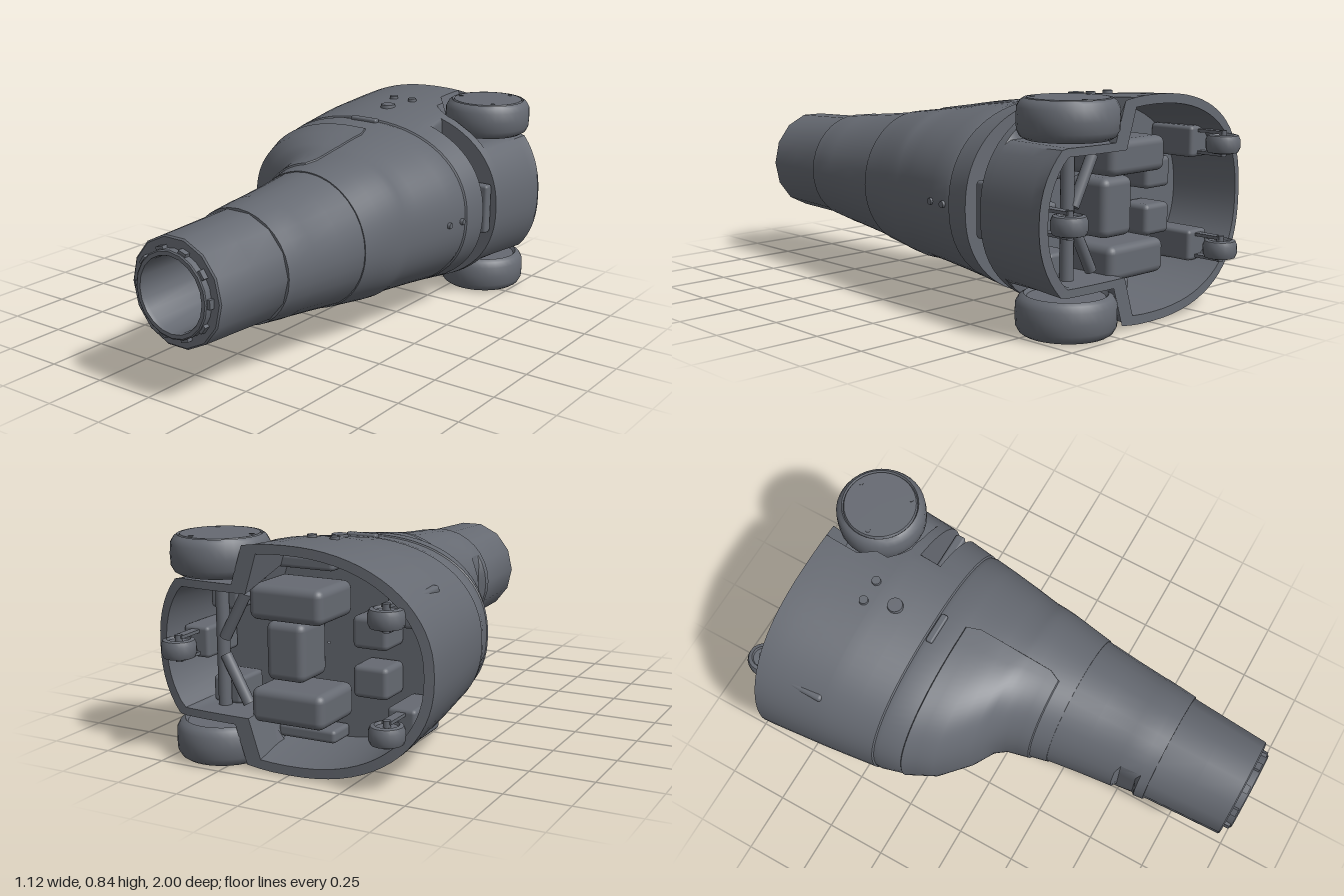
import * as THREE from 'three';
import { toCreasedNormals } from 'three/addons/utils/BufferGeometryUtils.js';
import { RoundedBoxGeometry } from 'three/addons/geometries/RoundedBoxGeometry.js';

const MID = 0.4175; // height of the mirror plane

// Hull stations: z, xMin, xMax, yMin, yMax
const STATIONS = [
  [-0.935, -0.56, 0.56, 0.003, 0.832],
  [-0.88, -0.56, 0.555, 0.005, 0.83],
  [-0.6, -0.535, 0.53, 0.028, 0.812],
  [-0.38, -0.51, 0.5, 0.06, 0.78],
  [-0.27, -0.48, 0.485, 0.075, 0.765],
  [-0.15, -0.42, 0.465, 0.09, 0.75],
  [-0.05, -0.31, 0.445, 0.107, 0.732],
  [0, -0.22, 0.44, 0.113, 0.725],
  [0.05, -0.185, 0.435, 0.12, 0.718],
  [0.22, -0.15, 0.41, 0.14, 0.695],
  [0.63, -0.105, 0.365, 0.198, 0.648],
  [0.97, -0.085, 0.33, 0.21, 0.63],
];

// Hull section at z, grown outward by g
function section(z, g = 0) {
  let i = 0;
  while (i < STATIONS.length - 2 && z > STATIONS[i + 1][0]) i++;
  const a = STATIONS[i], b = STATIONS[i + 1];
  const t = THREE.MathUtils.clamp((z - a[0]) / (b[0] - a[0]), 0, 1);
  const [, x0, x1, y0, y1] = a.map((v, k) => v + (b[k] - v) * t);
  return {
    cx: (x0 + x1) / 2, rx: (x1 - x0) / 2 + g,
    cy: (y0 + y1) / 2, ry: (y1 - y0) / 2 + g, n: z < 0 ? 2.25 : 2 + 0.25 * Math.max(0, 1 - z / 0.2),
  };
}

function hullPoint(s, angle, z) {
  const f = (v) => Math.sign(v) * Math.abs(v) ** (2 / s.n);
  return [s.cx + s.rx * f(Math.cos(angle)), s.cy + s.ry * f(Math.sin(angle)), z];
}

// Ring of points; o: g growth, k scale, minX / maxX clamps, well clamps the wheel recesses
function ring(z, count, o = {}) {
  const s = section(z, o.g);
  s.rx *= o.k ?? 1;
  s.ry *= o.k ?? 1;
  return Array.from({ length: count + 1 }, (_, j) => {
    const p = hullPoint(s, (j / count) * Math.PI * 2, z);
    p[0] = THREE.MathUtils.clamp(p[0], o.minX ?? -9, o.maxX ?? 9);
    if (o.well) {
      const h = 0.04 - (z + 0.82) ** 2;
      const edge = o.well === 'inner' ? 0.15 : h > 0 ? 0.34 - Math.sqrt(h) : 9;
      const inset = o.well === 'inner' ? 0.03 : 0;
      if (p[0] > edge) p[1] = THREE.MathUtils.clamp(p[1], 0.16 + inset, 0.675 - inset);
    }
    if (z < -0.9) p[2] += 0.035 * Math.abs(p[0] / 0.56) ** 4;
    return p;
  });
}

// Skin between rows of points
function loft(rows, crease = 0.6) {
  const w = rows[0].length, index = [];
  for (let i = 0; i < rows.length - 1; i++)
    for (let j = 0; j < w - 1; j++) {
      const a = i * w + j, c = a + w;
      index.push(a, a + 1, c, a + 1, c + 1, c);
    }
  const geo = new THREE.BufferGeometry();
  geo.setAttribute('position', new THREE.Float32BufferAttribute(rows.flat(2), 3));
  geo.setIndex(index);
  return toCreasedNormals(geo, crease);
}

export function createModel() {
  const model = new THREE.Group();
  const grey = new THREE.MeshStandardMaterial({ color: 0x666a72, side: THREE.DoubleSide });
  grey.name = 'slate grey';
  const add = (name, geo, x = 0, y = 0, z = 0, parent = model) => {
    const m = new THREE.Mesh(geo, grey);
    m.name = name;
    m.position.set(x, y, z);
    parent.add(m);
    return m;
  };
  const lathe = (pts, seg) =>
    toCreasedNormals(new THREE.LatheGeometry(pts.map((p) => new THREE.Vector2(...p)), seg), 0.6);

  // Main shell with rear cavity, wheel wells and side slot
  const N = 72;
  const shell = [
    ring(-0.63, N, { k: 0.01 }),
    ring(-0.63, N, { g: -0.04, well: 'inner' }),
    ring(-0.935, N, { g: -0.035, well: 'inner' }),
    ...[-0.935, -0.9, -0.85, -0.79, -0.73, -0.68, -0.645, -0.625, -0.619].map((z) => ring(z, N, { well: 'outer' })),
    ring(-0.58, N),
    ring(-0.58, N, { maxX: 0.25 }),
    ring(-0.49, N, { maxX: 0.25 }),
    ring(-0.49, N),
    ring(-0.385, N),
    ring(-0.38, N, { g: -0.006 }),
    ...[-0.36, -0.27, -0.21, -0.15, -0.1, -0.05, -0.02, 0, 0.02, 0.05, 0.12, 0.22].map((z) => ring(z, N)),
    ring(0.22, N, { g: -0.02 }),
  ];
  add('mainShell', loft(shell));

  // Neck with a grip recess on its side
  const neck = [
    ring(0.2, 32, { g: -0.004 }), ring(0.35, 32, { g: -0.004 }), ring(0.495, 32, { g: -0.002 }),
    ring(0.51, 32, { minX: -0.08 }), ring(0.58, 32, { minX: -0.08 }),
    ring(0.595, 32), ring(0.635, 32), ring(0.635, 32, { g: -0.02 }),
  ];
  add('neck', loft(neck));

  // Faceted nose and its open socket
  add('nose', loft([ring(0.62, 14, { g: -0.006 }), ring(0.8, 14, { g: -0.003 }), ring(0.965, 14),
    ring(0.97, 14, { g: -0.006 }), ring(0.97, 14, { g: -0.045 })]));
  const socket = add('noseSocket', lathe(
    [[0.165, -0.02], [0.165, 0.026], [0.16, 0.03], [0.145, 0.03], [0.14, 0.015], [0.14, -0.35], [0, -0.35]], 20),
  0.125, 0.42, 0.97);
  socket.rotation.x = Math.PI / 2;
  add('socketPartition', new THREE.BoxGeometry(0.04, 0.23, 0.25), 0.215, 0.42, 0.78);
  for (let i = 0; i < 10; i++) {
    const a = (i / 10) * Math.PI * 2;
    const tab = add('socketTab', new THREE.BoxGeometry(0.02, 0.035, 0.024),
      0.125 + 0.165 * Math.cos(a), 0.42 + 0.165 * Math.sin(a), 0.98);
    tab.rotation.z = a;
  }

  // Slightly raised access panel wrapping the bulge
  const zs = [-0.27, -0.265, -0.21, -0.15, -0.1, -0.05, -0.02, 0, 0.02, 0.05, 0.1, 0.145, 0.15];
  const panel = zs.map((z, i) => {
    const end = i === 0 || i === zs.length - 1;
    const s = section(z), corner = z < -0.25 || z > 0.14 ? 0.07 : 0.09;
    const c = (corner - s.cx) / s.rx;
    const a0 = Math.acos(Math.sign(c) * Math.abs(c) ** (s.n / 2));
    return Array.from({ length: 49 }, (_, j) => {
      const lift = end || j === 0 || j === 48 ? -0.001 : 0.006;
      const t = j === 1 ? 0.1 : j === 47 ? 47.9 : j;
      return hullPoint(section(z, lift), a0 + (t / 48) * 2 * (Math.PI - a0), z);
    });
  });
  add('accessPanel', loft(panel));

  // Bar standing in the side slot
  add('slotBar', new RoundedBoxGeometry(0.26, 0.21, 0.045, 2, 0.012), 0.375, 0.425, -0.555);

  // Parts mirrored about the middle height
  for (const s of [1, -1]) {
    const wheel = new THREE.Group();
    wheel.name = s > 0 ? 'upperWheel' : 'lowerWheel';
    wheel.position.set(0.335, MID + s * 0.345, -0.818);
    wheel.scale.y = 1;
    wheel.rotation.x = s > 0 ? 0 : Math.PI;
    model.add(wheel);
    add('tyre', lathe([[0, -0.06], [0.14, -0.06], [0.15, -0.0725], [0.168, -0.062], [0.18, -0.04], [0.182, 0],
      [0.18, 0.04], [0.168, 0.062], [0.155, 0.071], [0.15, 0.062], [0.145, 0.0725], [0, 0.0725]], 36), 0, 0, 0, wheel);
    for (let i = 0; i < 3; i++) {
      const a = i * 2.09 + 0.9;
      add('wheelBolt', new THREE.CylinderGeometry(0.01, 0.01, 0.004, 8),
        0.125 * Math.cos(a), 0.0725, 0.125 * Math.sin(a), wheel);
    }

    // Round buttons on the flat faces
    for (const [x, z, r] of [[-0.05, -0.66, 0.02], [0.045, -0.66, 0.02], [-0.005, -0.545, 0.034]]) {
      const sec = section(z);
      add('button', new THREE.CylinderGeometry(r * 0.9, r, 0.02, 16), x, sec.cy + s * sec.ry, z);
    }
    add('topClip', new RoundedBoxGeometry(0.13, 0.02, 0.03, 2, 0.008), 0, MID + s * 0.362, -0.36);

    // Machinery blocks inside the cavity
    add('machineryBlock', new RoundedBoxGeometry(0.3, 0.13, 0.24, 3, 0.03), 0.03, MID + s * 0.19, -0.77);
    add('machineryTray', new RoundedBoxGeometry(0.24, 0.05, 0.12, 2, 0.015), 0.03, MID + s * 0.32, -0.69);
    add('sideBracket', new RoundedBoxGeometry(0.12, 0.1, 0.16, 2, 0.015), 0.34, MID + s * 0.18, -0.72);
    const spring = add('strut', new THREE.CylinderGeometry(0.022, 0.022, 0.2, 12), 0.27, MID + s * 0.12, -0.83);
    spring.rotation.z = s * 0.5;
    add('sideBlock', new RoundedBoxGeometry(0.14, 0.12, 0.14, 2, 0.02), -0.24, MID + s * 0.09, -0.69);
  }
  add('centreBlock', new RoundedBoxGeometry(0.16, 0.22, 0.18, 3, 0.03), 0.07, MID, -0.74);
  add('axle', new THREE.CylinderGeometry(0.025, 0.025, 0.58, 16), 0.335, MID, -0.818);

  // Small casters on forks at the rear
  for (const [x, y] of [[-0.4, 0.62], [-0.4, 0.215], [0.45, MID]]) {
    const caster = new THREE.Group();
    caster.name = 'caster';
    caster.position.set(x, y, -0.935);
    model.add(caster);
    add('casterWheel', lathe([[0, -0.026], [0.04, -0.026], [0.044, -0.036], [0.058, -0.032], [0.065, -0.015],
      [0.065, 0.015], [0.058, 0.032], [0.044, 0.036], [0.04, 0.026], [0, 0.026]], 20), 0, 0, 0, caster);
    for (const s of [1, -1])
      add('casterFork', new THREE.BoxGeometry(0.035, 0.012, 0.13), 0, s * 0.042, 0.06, caster);
    add('casterPin', new THREE.CylinderGeometry(0.014, 0.014, 0.1, 10), 0, 0, 0, caster);
    add('casterMount', new RoundedBoxGeometry(0.11, 0.12, 0.2, 2, 0.015), 0, 0, 0.205, caster);
  }

  // Flank fittings
  for (const [x, y, z] of [[0.5, 0.42, -0.35], [0.487, 0.42, -0.27]]) {
    const dot = add('flankButton', new THREE.CylinderGeometry(0.012, 0.014, 0.015, 10), x, y, z);
    dot.rotation.z = -Math.PI / 2;
  }
  return model;
}
